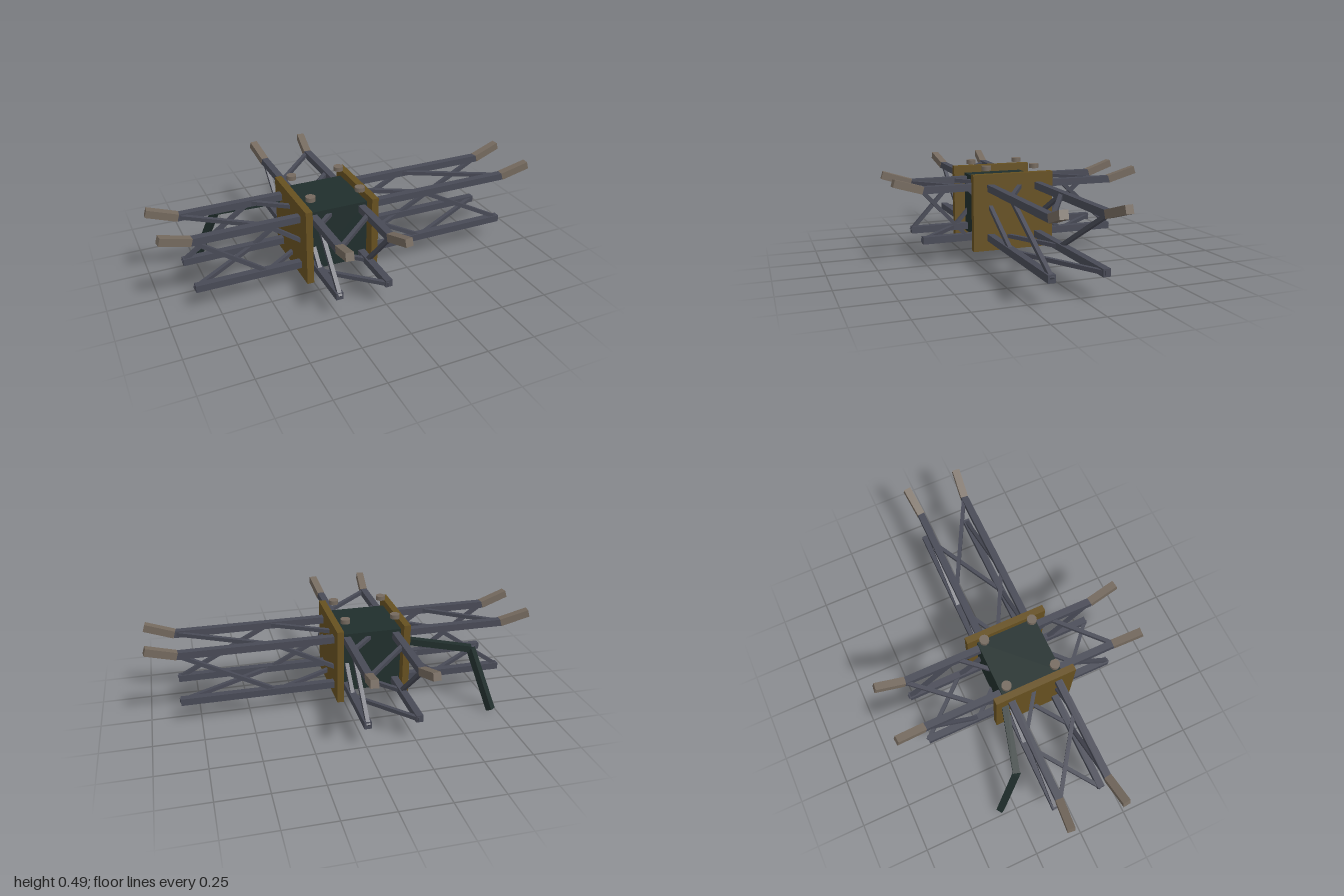
import * as THREE from 'three';

const mat = (name, color) => {
  const m = new THREE.MeshStandardMaterial({ color });
  m.name = name;
  return m;
};

export function createModel() {
  const model = new THREE.Group();
  model.name = 'trussStation';
  const gold = mat('gold', 0x665020);
  const darkGreen = mat('darkGreen', 0x202e2c);
  const steel = mat('steel', 0x484a56);
  const taupe = mat('taupe', 0x74695e);

  const center = new THREE.Vector3(-0.128, 0.263, 0.05);
  const half = 0.128; // half the spacing between truss chords

  const add = (parent, name, geometry, material, x, y, z) => {
    const mesh = new THREE.Mesh(geometry, material);
    mesh.name = name;
    mesh.position.set(x, y, z);
    parent.add(mesh);
    return mesh;
  };

  // square bar between two points, in the parent's own frame
  const bar = (parent, name, a, b, size, material) => {
    const mid = a.clone().add(b).multiplyScalar(0.5);
    const mesh = add(parent, name, new THREE.BoxGeometry(size, size, a.distanceTo(b)), material, mid.x, mid.y, mid.z);
    const turn = new THREE.Matrix4().lookAt(b, a, new THREE.Vector3(0, 1, 0));
    mesh.quaternion.setFromRotationMatrix(turn);
  };

  // core block with two end plates
  add(model, 'core', new THREE.BoxGeometry(0.32, 0.32, 0.32), darkGreen, center.x, center.y, center.z);
  for (const s of [-1, 1]) {
    add(model, 'endPlate', new THREE.BoxGeometry(0.035, 0.395, 0.43), gold,
      center.x + s * 0.173, center.y, center.z + 0.004);
  }

  // corners of a truss section, in order around its axis
  const corners = [[1, -1], [-1, -1], [-1, 1], [1, 1]];

  // four chords, spiral bracing in two bays and flared upper tips
  const truss = (name, angle, length) => {
    const group = new THREE.Group();
    group.name = name;
    group.position.copy(center);
    const at = (i, z) => new THREE.Vector3(corners[i % 4][0] * half, corners[i % 4][1] * half, z);
    for (let i = 0; i < 4; i++) {
      bar(group, 'chord', at(i, 0.1), at(i, length), 0.036, steel);
      for (let bay = 0; bay < 2; bay++) {
        bar(group, 'brace', at(i, length * (bay + 1) / 2), at(i + 1, length * bay / 2), 0.02, steel);
      }
      const [side, up] = corners[i];
      if (up > 0) {
        const root = at(i, length - 0.004);
        const tip = root.clone().add(new THREE.Vector3(side * 0.016, 0.046, 0.148));
        bar(group, 'tip', root, tip, 0.039, taupe);
      }
    }
    group.rotation.y = angle;
    model.add(group);
  };
  truss('frontTruss', 0, 0.47);
  truss('backTruss', Math.PI, 0.572);
  truss('leftTruss', Math.PI / 2, 0.973);
  truss('rightTruss', -Math.PI / 2, 0.722);

  // small round pads hovering above the core corners
  for (const sx of [-1, 1]) {
    for (const sz of [-1, 1]) {
      add(model, 'pad', new THREE.CylinderGeometry(0.025, 0.025, 0.022, 12), taupe,
        center.x + sx * 0.13, 0.485, center.z + sz * 0.13);
    }
  }

  // bent arm
  const shoulder = new THREE.Vector3(-0.27, 0.36, -0.1);
  const elbow = new THREE.Vector3(-0.635, 0.315, -0.2);
  const hand = new THREE.Vector3(-0.72, 0.009, -0.323);
  bar(model, 'upperArm', shoulder, elbow, 0.034, darkGreen);
  bar(model, 'lowerArm', elbow, hand, 0.034, darkGreen);

  return model;
}
